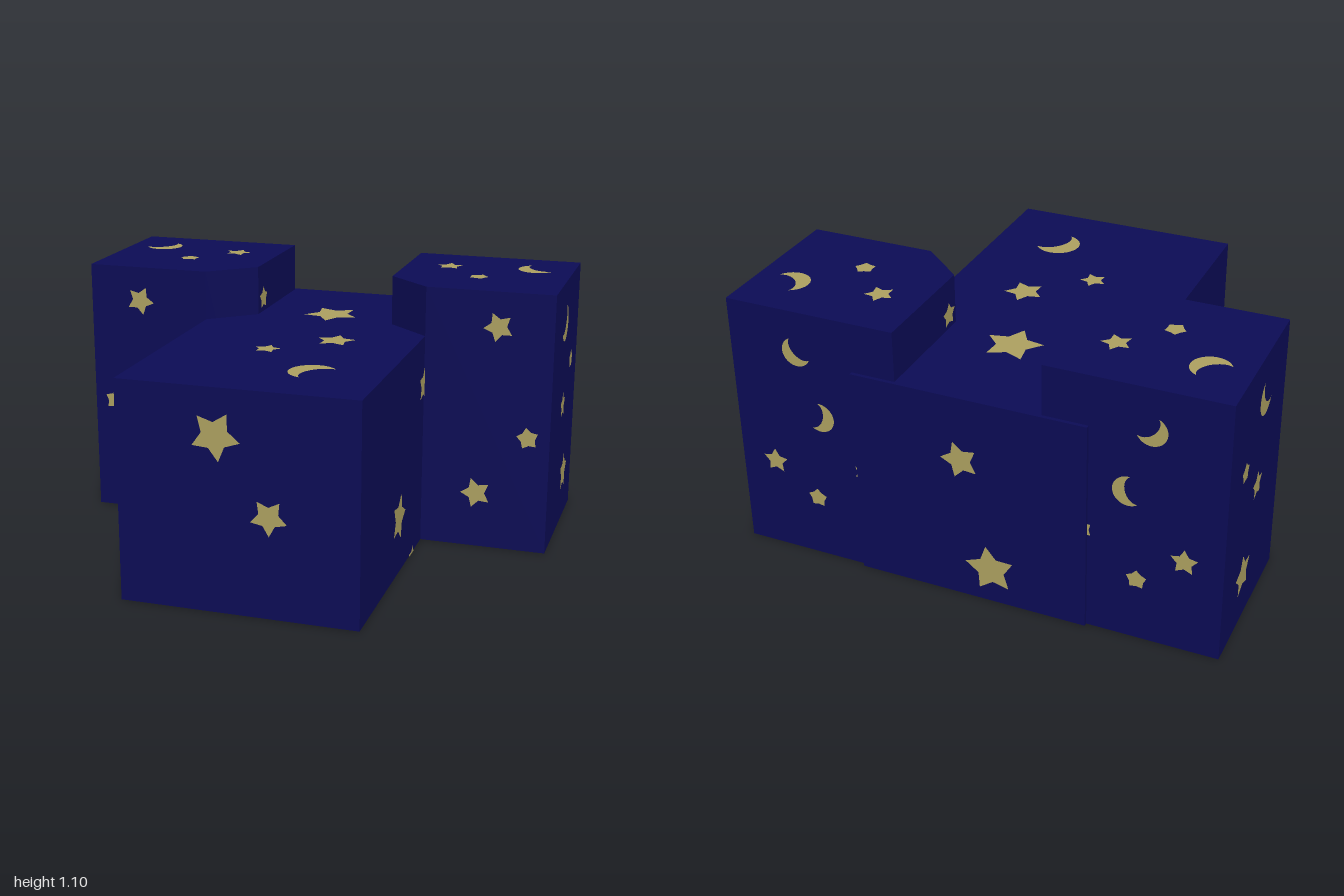
import * as THREE from 'three';

const H = 1.09, BODY_H = 0.885, BODY_X = 0.475, BODY_Z = 0.815;
const LIFT = 0.003; // decals float just off the surface

// Five-pointed star with one tip at angle deg; fat is the inner/outer radius ratio
function starPoints(r, deg, fat = 0.54) {
  return Array.from({ length: 10 }, (_, i) => {
    const a = THREE.MathUtils.degToRad(deg + i * 36), q = r * (i % 2 ? fat : 1);
    return new THREE.Vector2(Math.cos(a) * q, Math.sin(a) * q);
  });
}

// Crescent whose thick side points at angle deg
function moonPoints(r, deg) {
  const s = new THREE.Shape(), h = THREE.MathUtils.degToRad(110);
  const hx = Math.cos(h) * r, hy = Math.sin(h) * r;
  s.absarc(0, 0, r, -h, h, false);
  s.bezierCurveTo(0.4 * r, 0.7 * r, 0.4 * r, -0.7 * r, hx, -hy);
  const pts = s.getPoints(14);
  pts.pop();
  return pts.map(p => p.rotateAround(new THREE.Vector2(), THREE.MathUtils.degToRad(deg)));
}

export function createModel() {
  const group = new THREE.Group();
  const navy = new THREE.MeshStandardMaterial({ color: 0x0b0b55 });
  navy.name = 'navy';
  const gold = new THREE.MeshStandardMaterial({ color: 0xaca060 });
  gold.name = 'dull gold';

  // Long middle block
  const body = new THREE.Mesh(new THREE.BoxGeometry(BODY_X * 2, BODY_H, BODY_Z * 2), navy);
  body.name = 'middleBlock';
  body.position.y = BODY_H / 2;
  group.add(body);

  // Tall side blocks with a chamfered inner front corner
  for (const s of [1, -1]) {
    const outline = [[0.295, 0.8], [0.295, 0.29], [0.475, 0.135], [1, 0.135], [1, 0.8]];
    const shape = new THREE.Shape(outline.map(([x, z]) => new THREE.Vector2(s * x, z)));
    const geo = new THREE.ExtrudeGeometry(shape, { depth: H, bevelEnabled: false });
    const block = new THREE.Mesh(geo.rotateX(-Math.PI / 2), navy);
    block.name = s > 0 ? 'leftBlock' : 'rightBlock';
    group.add(block);
  }

  // Decal planes: rotation of the plane and its distance from the origin along the normal
  const Q = Math.PI / 2;
  const faces = {
    front: [0, 0], back: [0, Math.PI], left: [0, Q], right: [0, -Q], top: [-Q, 0], bottom: [Q, 0],
  };

  function decal(name, face, dist, u, v, pts, flip = 1, clip = [-9, 9, -9, 9]) {
    const moved = pts.map(p => new THREE.Vector2(
      flip * THREE.MathUtils.clamp(p.x + u, clip[0], clip[1]),
      THREE.MathUtils.clamp(p.y + v, clip[2], clip[3])));
    const mesh = new THREE.Mesh(new THREE.ShapeGeometry(new THREE.Shape(moved)), gold);
    mesh.name = name;
    mesh.rotation.set(faces[face][0], faces[face][1], 0);
    mesh.translateZ(dist + LIFT);
    group.add(mesh);
  }
  const star = (face, dist, u, v, r, deg, flip, fat, clip) =>
    decal('star', face, dist, u, v, starPoints(r, deg, fat), flip, clip);
  const moon = (face, dist, u, v, r, deg, flip) =>
    decal('moon', face, dist, u, v, moonPoints(r, deg), flip);

  // Middle block: front, top, back and underside
  star('front', BODY_Z, -0.08, 0.7, 0.1, -83);
  star('front', BODY_Z, 0.125, 0.405, 0.075, 55);
  star('top', BODY_H, 0.01, 0.375, 0.12, -88);
  star('top', BODY_H, 0.15, -0.05, 0.083, 92);
  star('top', BODY_H, -0.07, -0.255, 0.057, 90);
  moon('top', BODY_H, 0.2, -0.52, 0.093, 145);
  star('back', BODY_Z, -0.03, 0.62, 0.08, 110);
  star('back', BODY_Z, 0.085, 0.15, 0.105, 100);
  star('bottom', 0, 0.43, 0.01, 0.055, 90, 1, 0.6, [-BODY_X, BODY_X, -9, 9]);
  star('bottom', 0, 0.06, -0.37, 0.06, 90);
  star('bottom', 0, 0.09, -0.62, 0.045, 90, 1, 0.65);
  star('bottom', 0, -0.36, -0.18, 0.045, 90, 1, 0.65);
  star('bottom', 0, 0.007, 0.42, 0.08, 80);
  star('bottom', 0, -0.42, 0.43, 0.12, 80, 1, 0.54, [-BODY_X, BODY_X, -9, 9]);

  // Mirrored decals on both sides
  for (const m of [1, -1]) {
    const outer = m > 0 ? 'left' : 'right', inner = m > 0 ? 'right' : 'left';
    // middle block sides
    star(outer, BODY_X, -0.255, 0.24, 0.1, 72, m);
    star(outer, BODY_X, 0.12, 0.685, 0.075, 80, m);
    star(outer, BODY_X, -0.03, -0.025, 0.06, 70, m, 0.6, [-9, 9, 0, 9]);
    // side block fronts
    star('front', -0.135, 0.775, 0.945, 0.063, 115, m);
    star('front', -0.135, 0.91, 0.49, 0.047, 100, m, 0.65);
    star('front', -0.135, 0.705, 0.235, 0.066, 110, m);
    // side block tops
    star('top', H, 0.48, 0.55, 0.06, 95, m);
    star('top', H, 0.64, 0.375, 0.042, 75, m, 0.75);
    moon('top', H, 0.845, 0.59, 0.077, 225, m);
    // side block outer faces
    moon(outer, 1, 0.405, 0.915, 0.076, -42, m);
    star(outer, 1, 0.615, 0.71, 0.043, 90, m, 0.7);
    star(outer, 1, 0.44, 0.553, 0.06, 90, m);
    star(outer, 1, 0.555, 0.22, 0.09, 85, m);
    // side block backs
    moon('back', 0.8, -0.71, 0.92, 0.06, 225, m);
    moon('back', 0.8, -0.63, 0.65, 0.062, -15, m);
    star('back', 0.8, -0.85, 0.4, 0.055, 90, m);
    star('back', 0.8, -0.67, 0.27, 0.042, 90, m, 0.7);
    star('back', 0.8, -0.455, 0.44, 0.04, 0, m, 0.65);
    // side block undersides
    star('bottom', 0, 0.9, -0.355, 0.055, 90, m);
    star('bottom', 0, 0.513, -0.57, 0.05, 90, m, 0.65);
    // inner faces above the middle block
    star(inner, -0.295, -0.35, 0.945, 0.05, 90, m, 0.6);
  }
  return group;
}
